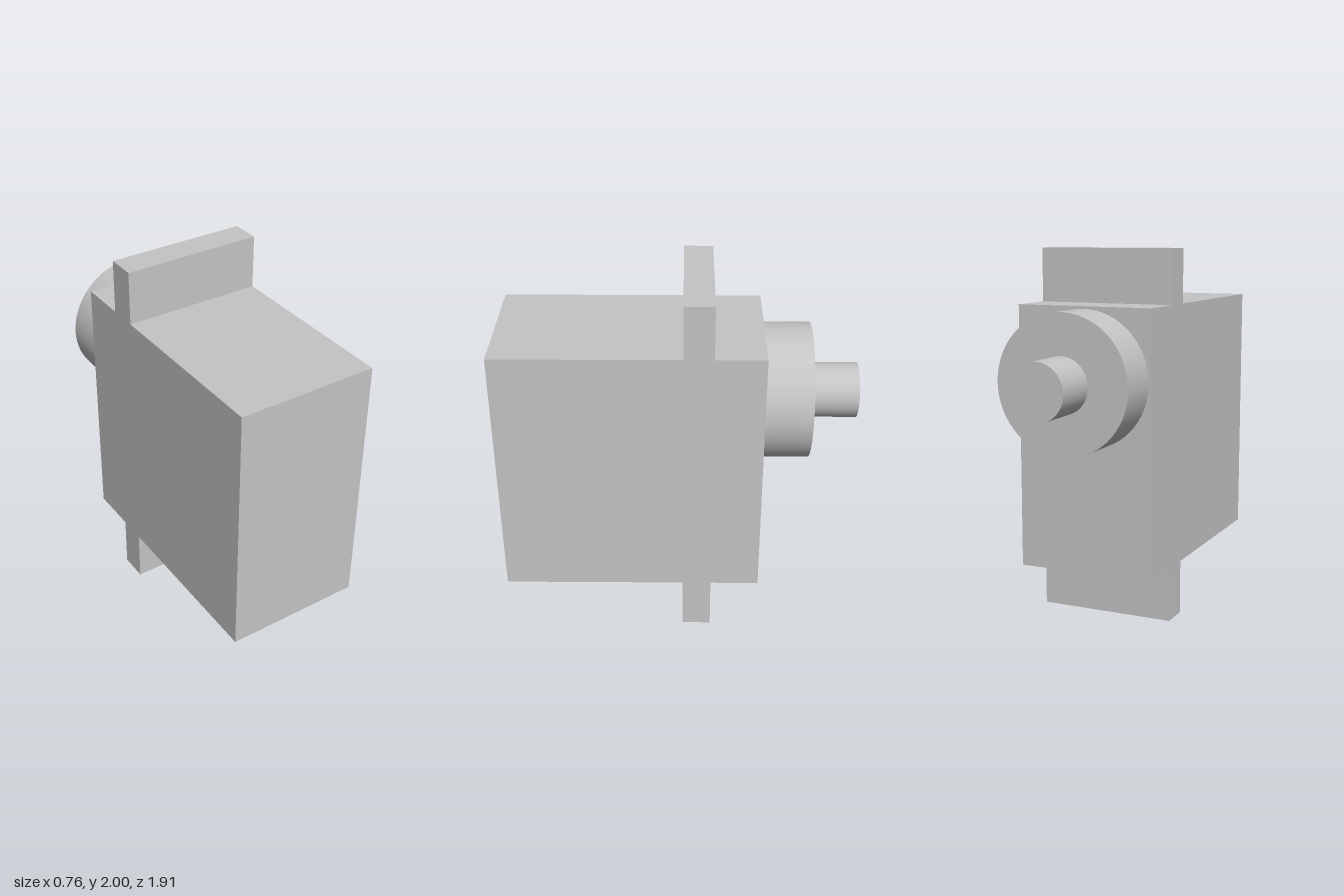
import * as THREE from 'three';

export function createModel() {
  const model = new THREE.Group();
  model.name = 'servoMotor';

  const grey = new THREE.MeshStandardMaterial({ color: 0xc4c4c4 });
  grey.name = 'light grey';

  const width = 0.756;
  const bodyBottom = 0.295, bodyTop = 1.71;
  const bodyBack = -0.447, bodyFront = 0.957;
  const axisY = 1.333;

  const add = (name, geometry, x, y, z) => {
    const mesh = new THREE.Mesh(geometry, grey);
    mesh.name = name;
    mesh.position.set(x, y, z);
    model.add(mesh);
  };

  // A box spanning the full width between y and z limits
  const block = (name, y0, y1, z0, z1) =>
    add(name, new THREE.BoxGeometry(width, y1 - y0, z1 - z0), 0, (y0 + y1) / 2, (z0 + z1) / 2);

  // A round part along z on the output axis
  const round = (name, radius, z0, z1) =>
    add(name, new THREE.CylinderGeometry(radius, radius, z1 - z0, 64).rotateX(Math.PI / 2), 0, axisY, (z0 + z1) / 2);

  // Housing with its mounting tabs
  block('housing', bodyBottom, bodyTop, bodyBack, bodyFront);
  block('topMountingTab', bodyTop, 2, -0.183, -0.027);
  block('bottomMountingTab', 0, bodyBottom, -0.183, -0.027);

  // Output boss and shaft on the back
  round('outputBoss', 0.364, -0.697, bodyBack);
  round('outputShaft', 0.148, -0.957, -0.697);

  return model;
}
